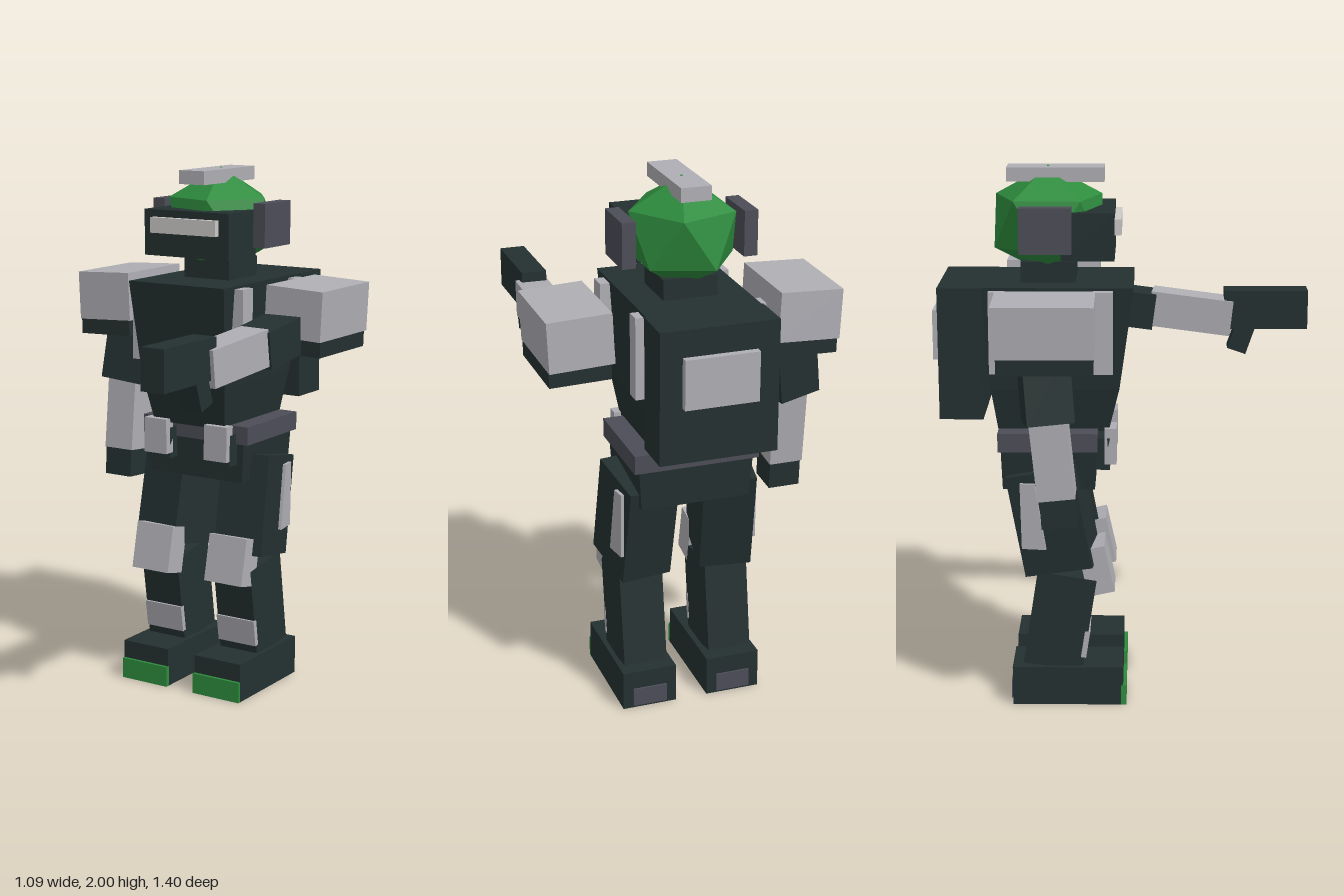
import * as THREE from 'three';

export function createModel() {
  const model = new THREE.Group();
  const mat = (name, color) => {
    const m = new THREE.MeshStandardMaterial({ color, flatShading: true });
    m.name = name;
    return m;
  };
  const dark = mat('dark armour', 0x243030);
  const light = mat('light plating', 0xaeaeb4);
  const green = mat('green', 0x2e8c3e);
  const slate = mat('slate trim', 0x4c4d57);
  const glow = mat('visor slit', 0xcbc9c6);

  const add = (name, geo, material, pos, rot = [0, 0, 0], parent = model) => {
    const mesh = new THREE.Mesh(geo, material);
    mesh.name = name;
    mesh.position.set(...pos);
    mesh.rotation.set(...rot, 'YXZ');
    parent.add(mesh);
    return mesh;
  };
  const box = (name, material, size, pos, rot, parent) =>
    add(name, new THREE.BoxGeometry(...size), material, pos, rot, parent);
  // box given by its limits on each axis
  const span = (name, material, x, y, z) =>
    box(name, material, [x[1] - x[0], y[1] - y[0], z[1] - z[0]],
      [(x[0] + x[1]) / 2, (y[0] + y[1]) / 2, (z[0] + z[1]) / 2]);
  // tapered block: half width, back and front at the top and at the bottom
  const taper = (name, material, y, top, bottom) => {
    const geo = new THREE.BoxGeometry(1, 1, 1);
    const p = geo.attributes.position;
    for (let i = 0; i < p.count; i++) {
      const up = p.getY(i) > 0;
      const [w, back, front] = up ? top : bottom;
      p.setXYZ(i, Math.sign(p.getX(i)) * w, up ? y[1] : y[0], p.getZ(i) > 0 ? front : back);
    }
    geo.computeVertexNormals();
    return add(name, geo, material, [0, 0, 0]);
  };
  const mirrored = (fn) => [[1, 'left'], [-1, 'right']].forEach(([s, side]) => fn(s, side));

  // Head: faceted dome standing on one corner, with visor, ear blocks and crest
  const dome = new THREE.IcosahedronGeometry(1, 0);
  dome.rotateZ(-Math.atan(2 / (1 + Math.sqrt(5))));
  dome.scale(0.216, 0.203, 0.23);
  add('headDome', dome, green, [0, 1.797, -0.28]);
  span('crest', light, [-0.055, 0.055], [1.945, 1.996], [-0.43, -0.075]);
  span('visor', dark, [-0.185, 0.185], [1.678, 1.85], [-0.23, -0.037]);
  span('visorSlit', glow, [-0.143, 0.143], [1.765, 1.823], [-0.04, -0.012]);
  span('neck', dark, [-0.1, 0.1], [1.57, 1.66], [-0.38, -0.18]);

  // Torso
  taper('chest', dark, [1.205, 1.585], [0.21, -0.52, 0.033], [0.185, -0.49, -0.02]);
  taper('abdomen', dark, [1.04, 1.206], [0.183, -0.49, -0.02], [0.157, -0.465, -0.06]);
  span('backpack', dark, [-0.216, 0.216], [1.1, 1.585], [-0.675, -0.515]);
  span('backpackPlate', light, [-0.135, 0.135], [1.305, 1.487], [-0.702, -0.67]);
  span('belt', slate, [-0.235, 0.235], [0.98, 1.05], [-0.465, -0.1]);
  taper('pelvis', dark, [0.83, 0.98], [0.215, -0.455, -0.105], [0.205, -0.45, -0.11]);

  mirrored((s, side) => {
    const at = (x, y, z) => [s * x, y, z];
    const turn = (x, y, z) => [x, s * y, s * z];
    const part = (n) => side + n;

    // Ear blocks, rib strips and belt pouches
    box(part('EarBlock'), slate, [0.05, 0.165, 0.187], at(0.223, 1.795, -0.283));
    box(part('FrontRib'), light, [0.055, 0.3, 0.07], at(0.218, 1.425, -0.078));
    box(part('BackRib'), light, [0.055, 0.3, 0.06], at(0.212, 1.425, -0.46));
    box(part('Pouch'), dark, [0.1, 0.12, 0.06], at(0.135, 0.96, -0.085));
    box(part('PouchFlap'), light, [0.1, 0.135, 0.045], at(0.135, 0.988, -0.053));

    // Shoulder
    box(part('ShoulderPad'), light, [0.235, 0.185, 0.357], at(0.423, 1.495, -0.281), turn(0, 0, -0.045));
    box(part('ShoulderBase'), dark, [0.225, 0.09, 0.335], at(0.422, 1.388, -0.276), turn(0, 0, -0.03));

    // Leg
    const thigh = box(part('Thigh'), dark, [0.195, 0.387, 0.255], at(0.167, 0.717, -0.265), turn(-0.185, 0.14, 0));
    const plate = new THREE.Shape([[-0.028, -0.0965], [-0.022, 0.157], [-0.076, 0.167], [-0.117, -0.08]]
      .map(([z, y]) => new THREE.Vector2(z, y)));
    const plateGeo = new THREE.ExtrudeGeometry(plate, { depth: 0.03, bevelEnabled: false });
    plateGeo.translate(0, 0, -0.015);
    add(part('ThighPlate'), plateGeo, light, at(0.095, 0, 0), [0, -Math.PI / 2, 0], thigh);
    box(part('KneePad'), light, [0.166, 0.182, 0.1], at(0.167, 0.525, -0.105), [-0.215, 0, 0]);
    const shin = box(part('Shin'), dark, [0.166, 0.365, 0.222], at(0.167, 0.325, -0.242), [0.155, 0, 0]);
    box(part('ShinPlate'), light, [0.168, 0.105, 0.02], [0, -0.075, 0.108], [0, 0, 0], shin);
    box(part('Foot'), dark, [0.207, 0.15, 0.415], at(0.165, 0.075, -0.213));
    box(part('ToePlate'), green, [0.207, 0.08, 0.02], at(0.165, 0.04, -0.003));
    box(part('HeelPlate'), slate, [0.13, 0.07, 0.012], at(0.165, 0.045, -0.422));
  });

  // Right arm hanging at the side
  box('rightUpperArm', dark, [0.165, 0.28, 0.17], [-0.408, 1.285, -0.28], [-0.05, 0.2, -0.13]);
  box('rightForearm', light, [0.128, 0.3, 0.135], [-0.41, 1.02, -0.255], [-0.1, 0, 0]);
  box('rightHand', dark, [0.12, 0.125, 0.125], [-0.41, 0.828, -0.235], [-0.06, 0, 0]);

  // Left arm stretched forward, with a blaster in place of the hand
  box('leftUpperArm', dark, [0.15, 0.138, 0.38], [0.38, 1.413, -0.08], [0.13, 0, 0]);
  box('leftForearm', light, [0.122, 0.136, 0.32], [0.371, 1.383, 0.255], [0.11, -0.1, 0]);
  span('blaster', dark, [0.305, 0.4], [1.325, 1.475], [0.38, 0.702]);
  box('blasterGrip', dark, [0.076, 0.13, 0.075], [0.357, 1.295, 0.45], [0.33, 0, 0]);

  return model;
}
